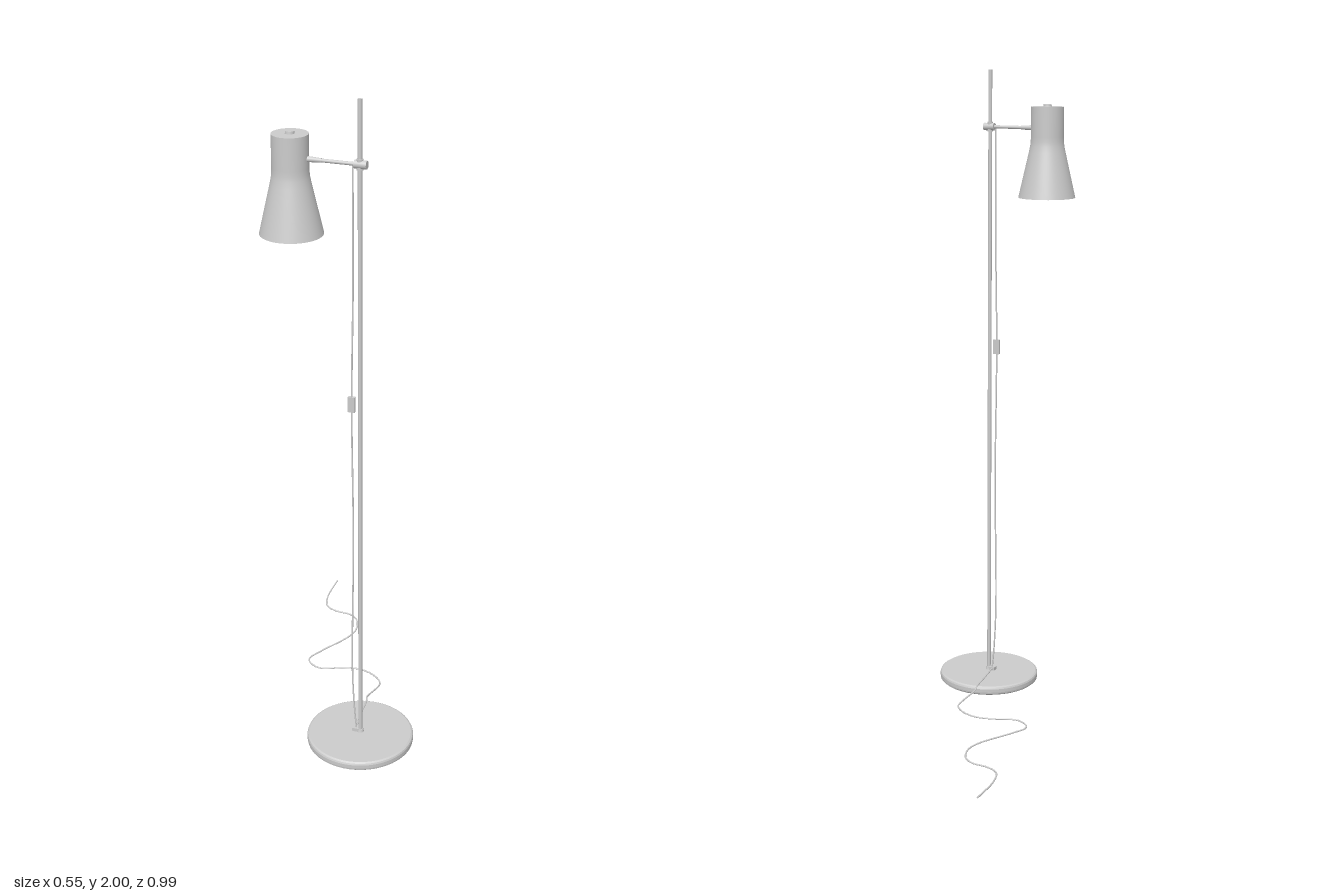
import * as THREE from 'three';

const AXIS_Z = 0.333; // depth shared by pole, arm and shade
const POLE_X = 0.11;
const SHADE_X = -0.086;
const ARM_Y = 1.826;

export function createModel() {
  const lamp = new THREE.Group();
  lamp.name = 'floorLamp';
  const grey = new THREE.MeshStandardMaterial({ color: 0xcccccc });
  const greyThin = new THREE.MeshStandardMaterial({ color: 0xcccccc, side: THREE.DoubleSide });

  const add = (name, geometry, x = 0, y = 0, z = 0, material = grey) => {
    const mesh = new THREE.Mesh(geometry, material);
    mesh.name = name;
    mesh.position.set(x, y, z);
    lamp.add(mesh);
    return mesh;
  };

  // Each segment of a turned profile keeps its own normals, so edges stay crisp
  const turned = (name, points, x, z, segments = 48) => {
    for (let i = 0; i < points.length - 1; i++) {
      const pair = [points[i], points[i + 1]].map(([r, y]) => new THREE.Vector2(r, y));
      add(name, new THREE.LatheGeometry(pair, segments), x, 0, z);
    }
  };

  // Horizontal rod along x
  const rod = (name, x0, x1, r0, r1 = r0) => {
    const geometry = new THREE.CylinderGeometry(r1, r0, x1 - x0, 24);
    geometry.rotateZ(-Math.PI / 2);
    add(name, geometry, (x0 + x1) / 2, ARM_Y, AXIS_Z);
  };

  const cable = (name, points, segments) => {
    const curve = new THREE.CatmullRomCurve3(points.map((p) => new THREE.Vector3(...p)));
    add(name, new THREE.TubeGeometry(curve, segments, 0.0025, 8), 0, 0, 0, greyThin);
  };

  // Round base with softened rims
  turned('base', [
    [0, 0.003], [0.155, 0.003], [0.161, 0.008], [0.162, 0.013],
    [0.162, 0.024], [0.16, 0.029], [0.155, 0.032], [0, 0.032],
  ], POLE_X, AXIS_Z, 64);

  // Upright pole with a small collar
  add('pole', new THREE.CylinderGeometry(0.006, 0.006, 1.97, 24), POLE_X, 1.015, AXIS_Z);
  add('poleCollar', new THREE.CylinderGeometry(0.009, 0.011, 0.01, 24), POLE_X, 0.036, AXIS_Z);

  // Arm, its ferrule at the shade and the clamp on the pole
  rod('arm', -0.04, 0.1, 0.005);
  rod('armFerrule', -0.037, 0.003, 0.008, 0.006);
  rod('clamp', 0.095, 0.13, 0.0115);
  add('clampSleeve', new THREE.CylinderGeometry(0.009, 0.009, 0.03, 24), POLE_X, ARM_Y, AXIS_Z);

  // Shade: straight neck curving into a flared skirt, open below
  const profile = [
    [0.088, 1.615], [0.0755, 1.67], [0.064, 1.72], [0.0565, 1.753],
    [0.0525, 1.772], [0.051, 1.785], [0.0505, 1.8], [0.0505, 1.89],
  ].map(([r, y]) => new THREE.Vector2(r, y));
  add('shade', new THREE.LatheGeometry(profile, 64), SHADE_X, 0, AXIS_Z, greyThin);
  add('shadeTop', new THREE.CylinderGeometry(0.0505, 0.0505, 0.004, 64), SHADE_X, 1.889, AXIS_Z);
  add('shadeCap', new THREE.CylinderGeometry(0.012, 0.013, 0.008, 32), SHADE_X, 1.894, AXIS_Z);

  // Hanging cable with an inline switch
  cable('hangingCable', [
    [0.09, ARM_Y, AXIS_Z], [0.09, 1.5, AXIS_Z], [0.085, 1.13, AXIS_Z],
    [0.089, 0.7, AXIS_Z], [0.085, 0.25, AXIS_Z], [0.092, 0.1, AXIS_Z], [0.098, 0.036, AXIS_Z],
  ], 80);
  add('switch', new THREE.BoxGeometry(0.02, 0.046, 0.01), 0.085, 1.132, AXIS_Z);
  add('cableGuide', new THREE.BoxGeometry(0.024, 0.012, 0.018), 0.098, 0.037, AXIS_Z);

  // Cable running over the base and winding along the floor
  cable('floorCable', [
    [0.096, 0.038, 0.333], [0.084, 0.036, 0.25], [0.075, 0.032, 0.175], [0.069, 0.03, 0.158],
    [0.077, 0.018, 0.085], [0.077, 0.014, 0.053], [0.062, 0.013, 0.03],
    [0.028, 0.013, 0.007], [-0.017, 0.013, -0.003], [-0.065, 0.013, 0.007],
    [-0.138, 0.013, 0.034], [-0.178, 0.013, 0.016], [-0.19, 0.013, -0.008],
    [-0.17, 0.013, -0.058], [-0.112, 0.013, -0.173], [-0.104, 0.013, -0.225],
    [-0.125, 0.013, -0.282], [-0.157, 0.013, -0.304], [-0.21, 0.013, -0.309],
    [-0.249, 0.013, -0.329], [-0.269, 0.013, -0.386], [-0.275, 0.013, -0.497],
  ], 240);

  return lamp;
}
